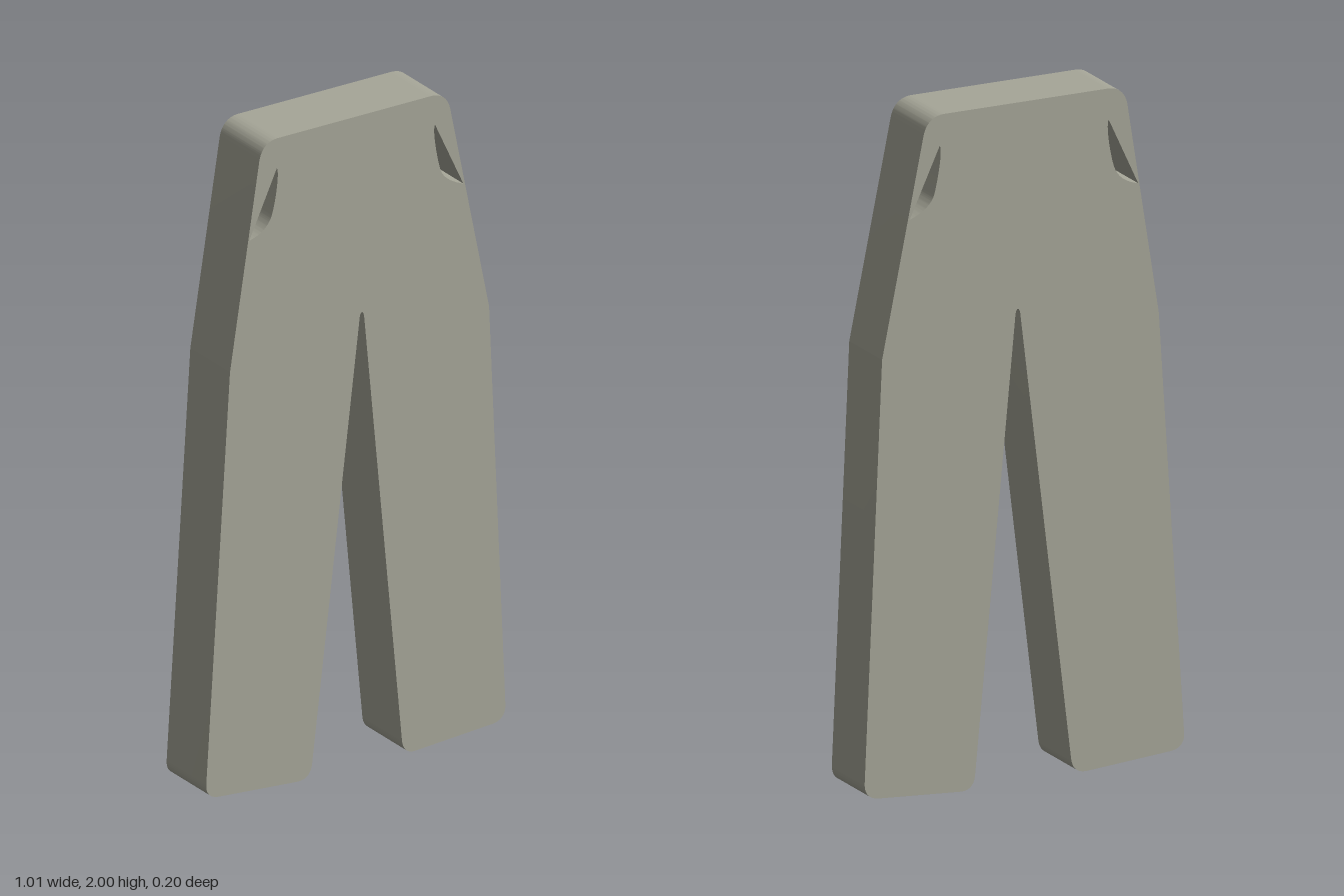
import * as THREE from 'three';
import { toCreasedNormals } from 'three/addons/utils/BufferGeometryUtils.js';

const DEPTH = 0.2;

// Pocket opening: straight slanted edge, curved inner edge
function pocket(tip, side, curve) {
  const p = new THREE.Path();
  p.moveTo(...tip);
  p.lineTo(...side);
  p.bezierCurveTo(...curve[0], ...curve[1], ...curve[2]);
  p.bezierCurveTo(...curve[3], ...curve[4], ...tip);
  return p;
}

export function createModel() {
  const model = new THREE.Group();
  const cloth = new THREE.MeshStandardMaterial({ color: 0xa6a698 });
  cloth.name = 'greyGreenCloth';

  // Outline, from the waist down the right leg and up the left leg
  const s = new THREE.Shape();
  s.moveTo(0.25, 2);
  s.lineTo(-0.262, 2);
  s.quadraticCurveTo(-0.315, 2, -0.326, 1.945); // waist corner
  s.lineTo(-0.425, 1.32);
  s.lineTo(-0.505, 0.072);
  s.quadraticCurveTo(-0.507, 0.03, -0.462, 0.025); // outer cuff
  s.lineTo(-0.2, 0.005);
  s.quadraticCurveTo(-0.154, 0.002, -0.148, 0.048); // inner cuff
  s.lineTo(0.012, 1.375);
  s.bezierCurveTo(0.014, 1.4, 0.026, 1.4, 0.028, 1.375); // crotch
  s.lineTo(0.155, 0.045);
  s.quadraticCurveTo(0.159, 0, 0.2, 0.001); // inner cuff
  s.lineTo(0.455, 0.018);
  s.quadraticCurveTo(0.504, 0.02, 0.504, 0.066); // outer cuff
  s.lineTo(0.449, 1.305);
  s.lineTo(0.318, 1.945);
  s.quadraticCurveTo(0.305, 2, 0.25, 2); // waist corner

  // Side pocket openings, cut right through
  s.holes.push(
    pocket([-0.267, 1.908], [-0.36, 1.708],
      [[-0.32, 1.718], [-0.297, 1.735], [-0.285, 1.765], [-0.272, 1.8], [-0.257, 1.895]]),
    pocket([0.267, 1.908], [0.362, 1.704],
      [[0.325, 1.718], [0.297, 1.735], [0.285, 1.765], [0.272, 1.81], [0.257, 1.9]])
  );

  const geometry = new THREE.ExtrudeGeometry(s, { depth: DEPTH, bevelEnabled: false, curveSegments: 36 });
  geometry.translate(0, 0, -DEPTH / 2);
  const trousers = new THREE.Mesh(toCreasedNormals(geometry, 0.09), cloth);
  trousers.name = 'trousers';
  model.add(trousers);
  return model;
}
